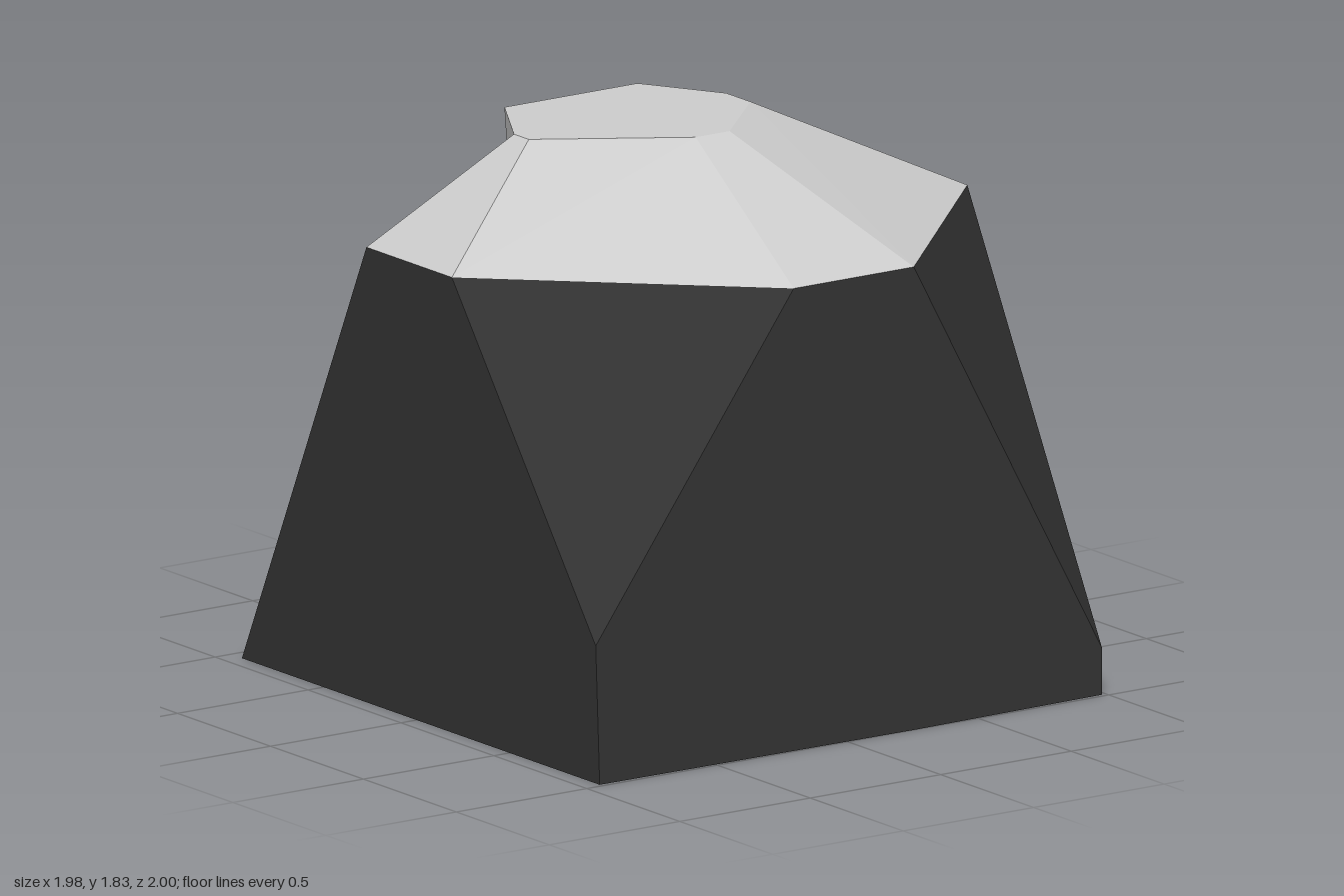
import * as THREE from 'three';

// Builds a flat-faceted mesh from outward-wound polygons; each fans from its first corner
function facets(name, color, polygons) {
  const pos = [];
  for (const p of polygons)
    for (let i = 1; i < p.length - 1; i++) pos.push(...p[0], ...p[i], ...p[i + 1]);
  const g = new THREE.BufferGeometry();
  g.setAttribute('position', new THREE.Float32BufferAttribute(pos, 3));
  g.computeVertexNormals();
  const mesh = new THREE.Mesh(g, new THREE.MeshStandardMaterial({ color, flatShading: true }));
  mesh.name = name;
  return mesh;
}

// Quads joining two matching closed loops
const band = (a, b) => a.map((p, i) => {
  const j = (i + 1) % a.length;
  return [p, a[j], b[j], b[i]];
});

export function createModel() {
  const model = new THREE.Group();
  model.name = 'facetedRock';

  // Shoulder ring where the dark body meets the pale cap
  const ring = [
    [-0.99, 1.49, -0.2], [-0.99, 1.49, 0.26], [-0.2, 1.49, 0.99], [0.26, 1.49, 0.99],
    [0.985, 1.49, 0.26], [0.62, 1.49, -0.2], [0.26, 1.17, -0.94], [0.1, 1.17, -0.94],
  ];
  // Flat crown of the cap
  const crown = [
    [-0.56, -0.01], [-0.56, 0.07], [-0.12, 0.35], [0.01, 0.35],
    [0.275, 0.09], [0.275, -0.04], [0.12, -0.3], [-0.39, -0.3],
  ].map(([x, z]) => [x, 1.83, z]);
  model.add(facets('cap', 0xcccccc, [...band(ring, crown), crown]));

  // Base corners, plus the corners where the sides are cut away
  const baseFrontLeft = [0.985, 0, 0.985], baseBackLeft = [0.985, 0, -0.94];
  const baseFrontRight = [-0.94, 0, 0.985], baseBackRight = [-0.94, 0, -0.94];
  const baseFront = [0.25, 0, 1];
  const cutFrontLeft = [0.985, 0.15, 0.985], cutFrontRight = [-0.955, 0.45, 0.985];
  const cutBackLeft = [0.53, 0.335, -0.94], cutBackRight = [-0.57, 0.94, -0.94];
  const [r0, r1, r2, r3, r4, r5, r6, r7] = ring;
  model.add(facets('body', 0x333333, [
    // underside, front and back
    [baseBackLeft, baseFrontLeft, baseFront, baseFrontRight, baseBackRight],
    [baseFront, baseFrontLeft, cutFrontLeft, r3, r2, cutFrontRight, baseFrontRight],
    [cutBackLeft, baseBackLeft, baseBackRight, cutBackRight, r7, r6],
    // sides
    [baseFrontLeft, baseBackLeft, r4, cutFrontLeft],
    [baseBackRight, baseFrontRight, cutFrontRight, r1, r0],
    // cut corners
    [cutFrontLeft, r4, r3],
    [cutFrontRight, r2, r1],
    [baseBackLeft, cutBackLeft, r4],
    [cutBackLeft, r5, r4],
    [cutBackLeft, r6, r5],
    [baseBackRight, r0, cutBackRight],
    [cutBackRight, r0, r7],
  ]));

  // Raised panel on the back, its sides slanting toward -x at the root
  const outline = [[0.435, 0.285], [0.605, 0.14], [-0.59, 0.14], [-0.37, 0.84], [0.195, 1.04]];
  const face = outline.map(([x, y]) => [x, y, -1]);
  const root = outline.map(([x, y]) => [x - 0.07, y, -0.94]);
  model.add(facets('backPanel', 0x333333, [face, ...band(root, face)]));

  return model;
}
